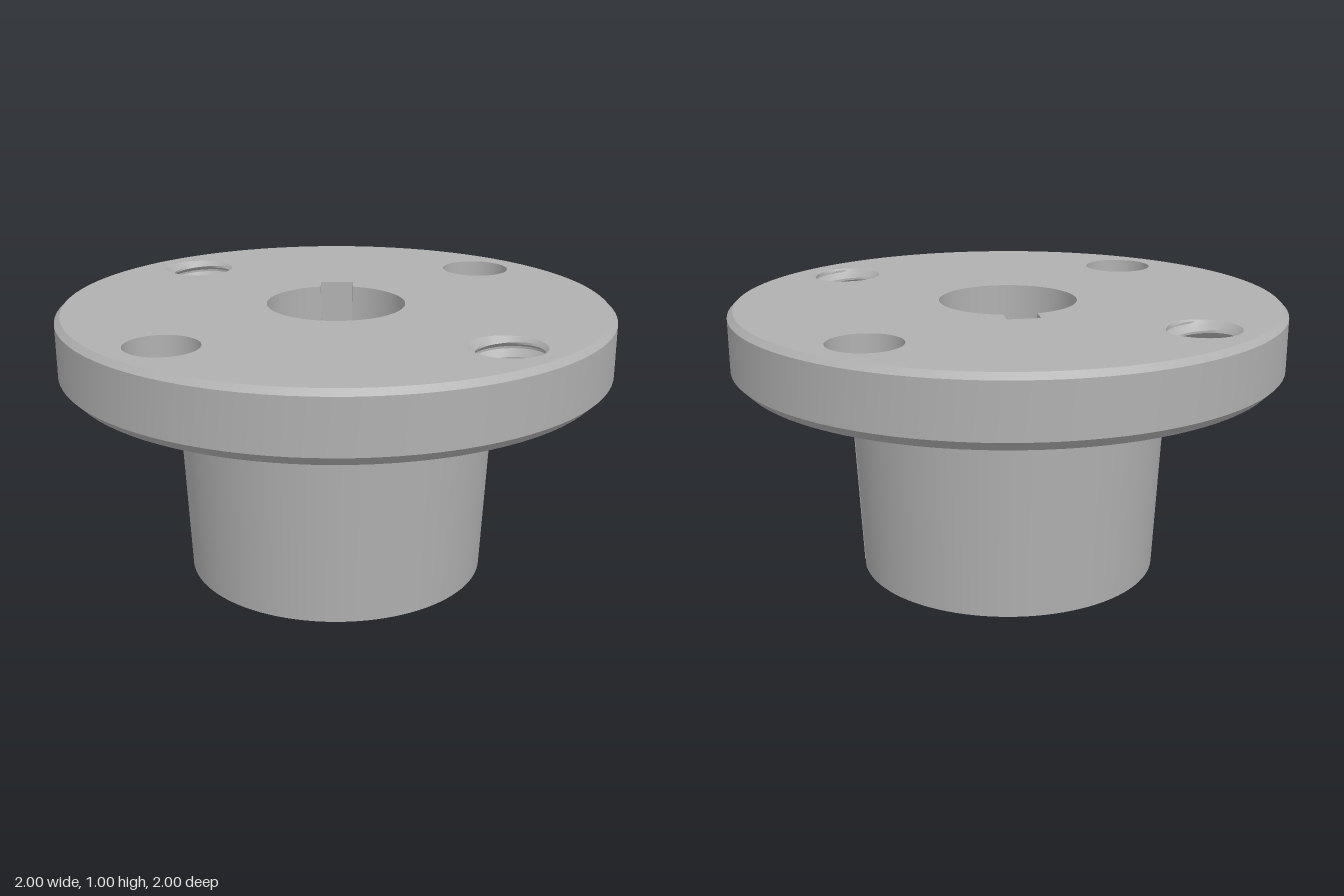
import * as THREE from 'three';
import { toCreasedNormals } from 'three/addons/utils/BufferGeometryUtils.js';

const TAU = Math.PI * 2, SEG = 96;
const BORE = 0.25, KEY_W = 0.06, KEY_D = 0.315, SLIT = 0.03, SLIT_TOP = 0.69;
const FLANGE_Y = 0.755, TOP = 1, HOLE = 0.128, BOLT = 0.555;
const hubRadius = (y) => 0.55 + (0.585 - 0.55) * (y / FLANGE_Y);

// Plan paths are [x, u] with u pointing to the back (u = -z).
function arc(r, a0, a1, n = SEG, cx = 0, cu = 0) {
  return Array.from({ length: n + 1 }, (_, i) => {
    const a = a0 + (a1 - a0) * i / n;
    return new THREE.Vector2(cx + r * Math.cos(a), cu + r * Math.sin(a));
  });
}
const at = (path, y) => path.map((p) => new THREE.Vector3(p.x, y, -p.y));

// Skin through rings from bottom to top; outside lies to the right of the path.
function loft(rings, crease = 0.5) {
  const pos = [];
  for (let j = 0; j < rings.length - 1; j++) {
    const lo = rings[j], hi = rings[j + 1];
    for (let i = 0; i < lo.length - 1; i++) {
      for (const p of [lo[i], lo[i + 1], hi[i + 1], lo[i], hi[i + 1], hi[i]]) pos.push(p.x, p.y, p.z);
    }
  }
  const g = new THREE.BufferGeometry();
  g.setAttribute('position', new THREE.Float32BufferAttribute(pos, 3));
  g.computeVertexNormals();
  return toCreasedNormals(g, crease);
}

// Flat horizontal face, looking up or down.
function face(outline, y, up, holes = []) {
  const s = new THREE.Shape(outline);
  holes.forEach((h) => s.holes.push(new THREE.Path(h)));
  const g = new THREE.ShapeGeometry(s);
  g.rotateX(-Math.PI / 2);
  g.translate(0, y, 0);
  if (!up) {
    const ix = g.index.array;
    for (let i = 0; i < ix.length; i += 3) [ix[i], ix[i + 1]] = [ix[i + 1], ix[i]];
    g.computeVertexNormals();
  }
  return g;
}

// Threaded hole wall: a helical ridge cut back by a chamfer at each end.
function threadGeometry(cx, cu) {
  const pitch = 0.062, per = 8, n = 64, rings = [];
  const wave = [0, 0, 0.33, 0.67, 1, 1, 0.67, 0.33];
  const turns = Math.ceil((TOP - FLANGE_Y) / pitch) + 1;
  for (let k = -per; k <= turns * per; k++) {
    const ring = [];
    for (let i = 0; i <= n; i++) {
      const t = i / n, a = -t * TAU;
      const y = THREE.MathUtils.clamp(FLANGE_Y + pitch * (k / per + t), FLANGE_Y, TOP);
      const depth = Math.min(y - FLANGE_Y, TOP - y);
      const r = Math.max(0.101 + 0.024 * wave[((k % per) + per) % per], 0.131 - depth);
      ring.push(new THREE.Vector3(cx + r * Math.cos(a), y, -(cu + r * Math.sin(a))));
    }
    rings.push(ring);
  }
  return loft(rings, 0.6);
}

export function createModel() {
  const model = new THREE.Group();
  const steel = new THREE.MeshStandardMaterial({ color: 0xb0b0b0, side: THREE.DoubleSide });
  steel.name = 'steel grey';
  const add = (name, geometry) => {
    const m = new THREE.Mesh(geometry, steel);
    m.name = name;
    model.add(m);
  };

  // Bore outline with keyway, running clockwise
  const k = Math.acos(KEY_W / BORE);
  const b = Math.asin(SLIT / BORE);
  const keyway = [new THREE.Vector2(-KEY_W, KEY_D), new THREE.Vector2(KEY_W, KEY_D)];
  const bore = [...arc(BORE, k, -Math.PI - k), ...keyway];
  const closed = (path) => [...path, path[0]];

  // Bolt holes: plain on one diagonal, threaded on the other
  const corners = [[1, 1], [-1, -1], [-1, 1], [1, -1]].map(([x, u]) => [x * BOLT, u * BOLT]);
  const boltCircles = corners.map(([x, u], i) => arc(i < 2 ? HOLE : 0.131, 0, -TAU, 64, x, u));
  corners.forEach(([x, u], i) => {
    if (i < 2) add('plainHole', loft([at(boltCircles[i], FLANGE_Y), at(boltCircles[i], TOP)]));
    else add('threadedHole', threadGeometry(x, u));
  });

  // Flange with chamfered rim
  const rim = [[0.965, FLANGE_Y], [1, 0.79], [1, 0.98], [0.98, TOP]];
  add('flangeRim', loft(rim.map(([r, y]) => at(arc(r, 0, TAU), y))));
  add('flangeTop', face(arc(0.98, 0, TAU), TOP, true, [bore, ...boltCircles]));
  add('flangeUnderside', face(arc(0.965, 0, TAU), FLANGE_Y, false,
    [arc(hubRadius(FLANGE_Y), 0, -TAU), ...boltCircles]));

  // Solid collar above the slit, and the bore through it
  add('hubCollar', loft([SLIT_TOP, FLANGE_Y].map((y) => at(arc(hubRadius(y), 0, TAU), y))));
  add('upperBore', loft([at(closed(bore), SLIT_TOP), at(closed(bore), TOP)]));

  // Two tapered hub halves parted by the slit
  const slitAngle = (y) => Math.asin(SLIT / hubRadius(y));
  const backHalf = (y) => closed([
    ...arc(hubRadius(y), slitAngle(y), Math.PI - slitAngle(y), 48),
    ...arc(BORE, Math.PI - b, Math.PI - k, 16), ...keyway, ...arc(BORE, k, b, 16),
  ]);
  const frontHalf = (y) => closed([
    ...arc(hubRadius(y), Math.PI + slitAngle(y), TAU - slitAngle(y), 48),
    ...arc(BORE, -b, b - Math.PI, 48),
  ]);
  for (const [name, half] of [['hubBack', backHalf], ['hubFront', frontHalf]]) {
    add(name, loft([at(half(0), 0), at(half(SLIT_TOP), SLIT_TOP)]));
    add(name + 'End', face(half(0).slice(0, -1), 0, false));
  }

  // Closed upper end of the slit on both sides
  const a = slitAngle(SLIT_TOP);
  for (const turn of [0, Math.PI]) {
    add('slitEnd', face([...arc(hubRadius(SLIT_TOP), turn - a, turn + a, 4),
      ...arc(BORE, turn + b, turn - b, 4)], SLIT_TOP, false));
  }
  return model;
}
